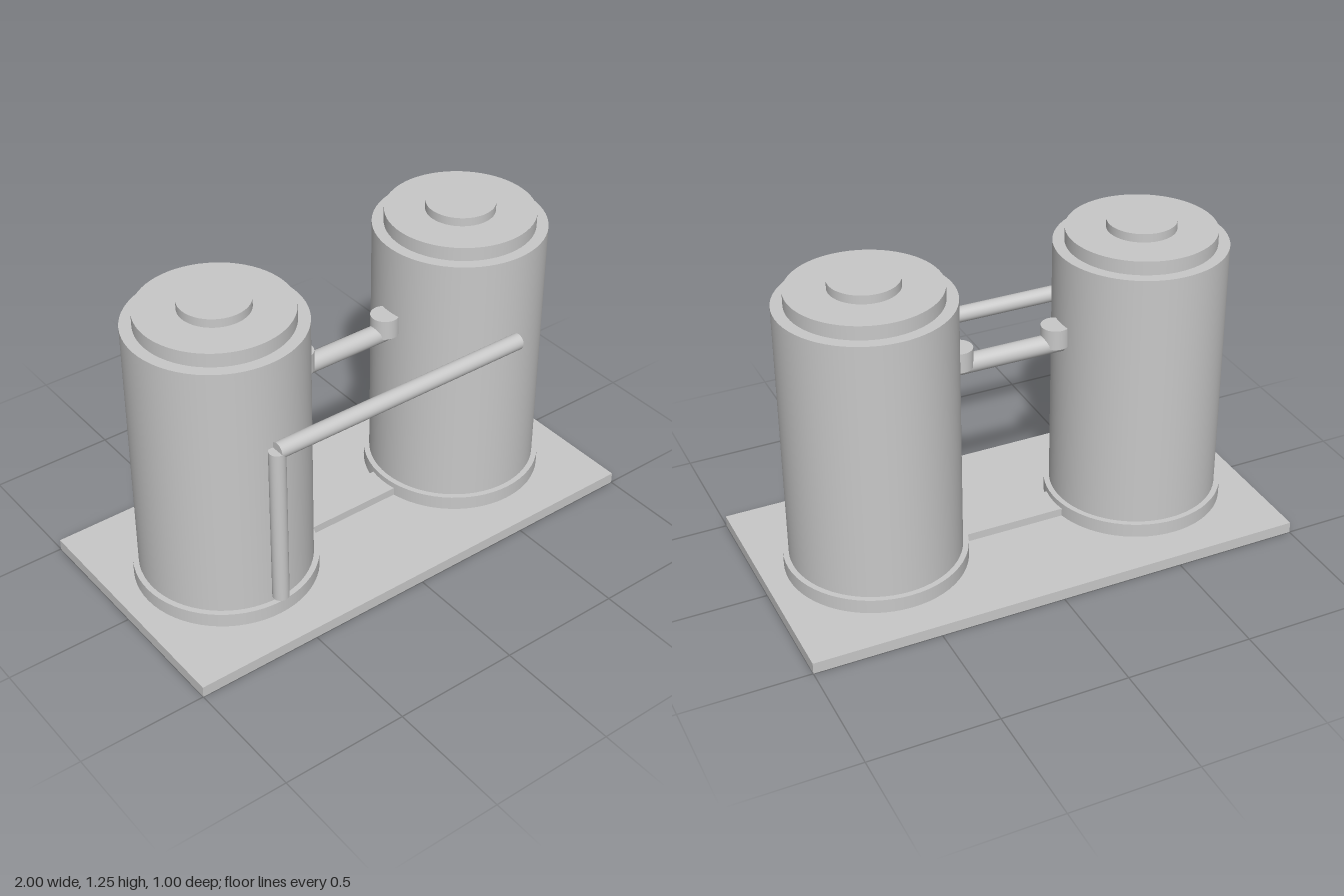
import * as THREE from 'three';

export function createModel() {
  const group = new THREE.Group();
  const grey = new THREE.MeshStandardMaterial({ color: 0xc8c8c8 });
  grey.name = 'light grey';

  const add = (parent, name, geometry, x, y, z) => {
    const mesh = new THREE.Mesh(geometry, grey);
    mesh.name = name;
    mesh.position.set(x, y, z);
    parent.add(mesh);
    return mesh;
  };
  // Upright cylinder between two heights
  const upright = (parent, name, r, y0, y1, x, z, sides = 64) =>
    add(parent, name, new THREE.CylinderGeometry(r, r, y1 - y0, sides), x, (y0 + y1) / 2, z);
  // Cylinder along x, centred on x = 0
  const crosswise = (name, r, length, y, z) => {
    add(group, name, new THREE.CylinderGeometry(r, r, length, 32), 0, y, z).rotation.z = Math.PI / 2;
  };

  // Base plate and the raised strip between the tanks
  add(group, 'basePlate', new THREE.BoxGeometry(2, 0.045, 1), 0, 0.0225, 0);
  add(group, 'baseStrip', new THREE.BoxGeometry(0.44, 0.035, 0.134), 0, 0.0605, 0);

  // Two tanks, each with foot ring, lid, cap and pipe fitting
  for (const side of [-1, 1]) {
    const tank = new THREE.Group();
    tank.name = side > 0 ? 'leftTank' : 'rightTank';
    const x = side * 0.556;
    upright(tank, 'footRing', 0.355, 0.044, 0.102, x, 0);
    upright(tank, 'tankBody', 0.333, 0.05, 1.157, x, 0);
    upright(tank, 'lid', 0.288, 1.15, 1.212, x, 0);
    upright(tank, 'cap', 0.133, 1.205, 1.246, x, 0);
    upright(tank, 'pipeFitting', 0.056, 0.80, 0.88, side * 0.2, 0, 32);
    group.add(tank);
  }

  // Pipe joining the tanks
  crosswise('connectingPipe', 0.038, 0.46, 0.803, 0);

  // Front pipe with its drop leg
  crosswise('frontPipe', 0.032, 1.112, 0.803, 0.357);
  upright(group, 'dropPipe', 0.032, 0.135, 0.803, -0.556, 0.357, 32);

  return group;
}
